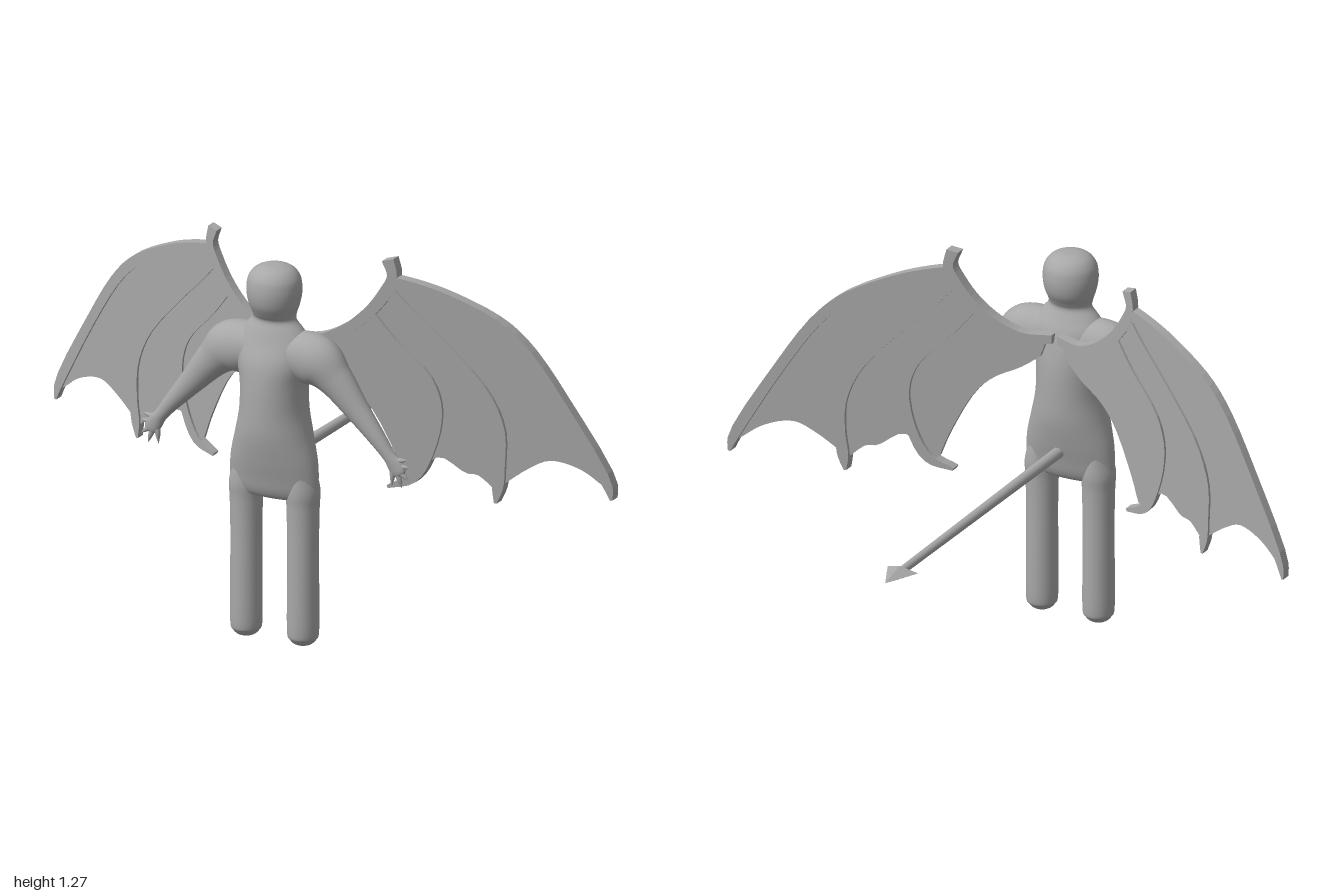
import * as THREE from 'three';

const BODY_Z = 0.545;
const V = (x, y, z = 0) => new THREE.Vector3(x, y, z);

// Smooth tube of elliptical rings; rows are [x, y, z, half width, half depth]
function loft(rows, steps = 48, sides = 32) {
  const path = new THREE.CatmullRomCurve3(rows.map(r => V(r[0], r[1], r[2])));
  const size = new THREE.CatmullRomCurve3(rows.map(r => V(r[3], r[4])));
  // uniform spline on both so that sizes stay with their centres
  path.curveType = size.curveType = 'catmullrom';
  const pos = [], index = [];
  for (let i = 0; i <= steps; i++) {
    const t = i / steps;
    const c = path.getPoint(t), s = size.getPoint(t), d = path.getTangent(t);
    const len = Math.hypot(d.x, d.y) || 1;
    const a = Math.max(s.x, 0), b = Math.max(s.y, 0);
    for (let j = 0; j < sides; j++) {
      const q = j / sides * Math.PI * 2;
      pos.push(c.x + d.y / len * a * Math.cos(q), c.y - d.x / len * a * Math.cos(q), c.z + b * Math.sin(q));
      if (i < steps) {
        const k = i * sides + j, n = i * sides + (j + 1) % sides;
        index.push(k, k + sides, n, n, k + sides, n + sides);
      }
    }
  }
  const g = new THREE.BufferGeometry();
  g.setAttribute('position', new THREE.Float32BufferAttribute(pos, 3));
  g.setIndex(index);
  g.computeVertexNormals();
  return g;
}

// Extruded plate laid in the swept-back plane of one wing
function wingPlate(points, side, depth) {
  const shape = new THREE.Shape(points.map(p => new THREE.Vector2(p.x * side, p.y)));
  const g = new THREE.ExtrudeGeometry(shape, { depth, bevelEnabled: false });
  g.translate(0, 0, -depth / 2);
  g.applyMatrix4(new THREE.Matrix4().set(1, 0, 0, 0, 0, 1, 0, 0, -0.32 * side, 0, 1, 0.46, 0, 0, 0, 1));
  g.computeVertexNormals();
  return g;
}

// Ribbon outline along a curve; rows are [x, y, width]
function ribbon(rows, steps = 24) {
  const curve = new THREE.CatmullRomCurve3(rows.map(r => V(r[0], r[1], r[2])));
  const left = [], right = [];
  for (let i = 0; i <= steps; i++) {
    const p = curve.getPoint(i / steps), d = curve.getTangent(i / steps);
    const k = p.z / 2 / Math.hypot(d.x, d.y);
    left.push(V(p.x - d.y * k, p.y + d.x * k));
    right.unshift(V(p.x + d.y * k, p.y - d.x * k));
  }
  return [...left, ...right];
}

// Wing outline as smooth runs between sharp corners
const MEMBRANE = [
  [[0.03, 0.98], [0.1, 0.99], [0.18, 1.03], [0.26, 1.09], [0.31, 1.18]],
  [[0.34, 1.205], [0.49, 1.15], [0.64, 1.075], [0.73, 0.995], [0.85, 0.82], [0.98, 0.56]],
  [[0.965, 0.55], [0.89, 0.604], [0.8, 0.626], [0.733, 0.594], [0.655, 0.535]],
  [[0.63, 0.52], [0.58, 0.563], [0.545, 0.567], [0.465, 0.615], [0.41, 0.575], [0.37, 0.54]],
  [[0.355, 0.55], [0.325, 0.63], [0.25, 0.775], [0.19, 0.835], [0.107, 0.878], [0.05, 0.92]],
];
const BONES = {
  armBone: [[0.01, 0.985, 0.03], [0.1, 0.985, 0.032], [0.18, 1.02, 0.034], [0.255, 1.085, 0.036],
    [0.305, 1.155, 0.038], [0.325, 1.21, 0.03], [0.312, 1.262, 0.036]],
  leadingBone: [[0.31, 1.19, 0.04], [0.4, 1.172, 0.036], [0.49, 1.142, 0.036], [0.64, 1.066, 0.036],
    [0.725, 0.985, 0.035], [0.84, 0.81, 0.033], [0.978, 0.56, 0.03], [0.99, 0.51, 0.008]],
  middleFinger: [[0.3, 1.17, 0.04], [0.37, 1.09, 0.038], [0.46, 1.0, 0.036], [0.6, 0.84, 0.034],
    [0.65, 0.72, 0.033], [0.652, 0.6, 0.03], [0.645, 0.53, 0.034], [0.638, 0.476, 0.008]],
  innerFinger: [[0.25, 1.08, 0.036], [0.32, 0.99, 0.034], [0.43, 0.87, 0.034], [0.46, 0.77, 0.033],
    [0.435, 0.63, 0.03], [0.385, 0.54, 0.03], [0.31, 0.509, 0.01]],
};

export function createModel() {
  const root = new THREE.Group();
  const grey = new THREE.MeshStandardMaterial({ color: 0xa8a8a8 });
  grey.name = 'grey';
  const add = (parent, name, geometry) => {
    const m = new THREE.Mesh(geometry, grey);
    m.name = name;
    parent.add(m);
    return m;
  };

  // Torso, neck and head: [y, half width, half depth, z offset]
  const rows = [
    [0.483, 0, 0, 0], [0.485, 0.125, 0.04, 0], [0.51, 0.15, 0.06, 0], [0.56, 0.153, 0.074, 0],
    [0.62, 0.146, 0.09, 0], [0.7, 0.126, 0.106, 0], [0.78, 0.11, 0.109, 0], [0.87, 0.11, 0.106, 0],
    [0.94, 0.125, 0.096, 0], [1.0, 0.125, 0.077, -0.005], [1.04, 0.1, 0.061, -0.003], [1.07, 0.075, 0.05, -0.002],
    [1.09, 0.073, 0.06, 0], [1.12, 0.081, 0.078, 0], [1.15, 0.087, 0.086, 0], [1.18, 0.088, 0.087, 0],
    [1.21, 0.082, 0.081, 0], [1.235, 0.063, 0.062, 0], [1.248, 0.032, 0.032, 0], [1.25, 0, 0, 0],
  ];
  add(root, 'torsoAndHead', loft(rows.map(([y, a, b, z]) => [0, y, BODY_Z + z, a, b]), 95, 40));

  for (const side of [1, -1]) {
    const label = side > 0 ? 'left' : 'right';

    // Leg with rounded foot
    const leg = [[0, 0, 0], [0.006, 0.027, 0.027], [0.022, 0.043, 0.044], [0.05, 0.05, 0.053], [0.2, 0.05, 0.053],
      [0.36, 0.05, 0.052], [0.46, 0.052, 0.054], [0.52, 0.053, 0.058], [0.6, 0.03, 0.05]];
    add(root, label + 'Leg', loft(leg.map(([y, a, b]) => [0.101 * side, y, BODY_Z - 0.002, a, b]), 48));

    // Arm from the shoulder to the flattened hand
    const arm = [[0.05, 0.965, 0.075, 0.07], [0.15, 0.95, 0.085, 0.07], [0.215, 0.9, 0.06, 0.052],
      [0.29, 0.815, 0.042, 0.036], [0.36, 0.735, 0.029, 0.026], [0.405, 0.68, 0.022, 0.019],
      [0.428, 0.65, 0.027, 0.015], [0.445, 0.625, 0.022, 0.011], [0.45, 0.617, 0, 0]];
    add(root, label + 'Arm', loft(arm.map(([x, y, a, b]) => [x * side, y, BODY_Z - 0.005, a, b]), 64));

    // Pointed fingers fanned out from the palm
    const hand = new THREE.Group();
    hand.name = label + 'Fingers';
    root.add(hand);
    for (const [x0, y0, x1, y1] of [[0.425, 0.665, 0.472, 0.675], [0.437, 0.65, 0.482, 0.65],
      [0.44, 0.635, 0.478, 0.605], [0.435, 0.63, 0.452, 0.578], [0.42, 0.64, 0.415, 0.578]]) {
      const z = BODY_Z - 0.005;
      add(hand, 'finger', loft([[x0 * side, y0, z, 0.011, 0.01],
        [(x0 + x1) / 2 * side, (y0 + y1) / 2, z, 0.008, 0.008], [x1 * side, y1, z, 0, 0]], 8, 10));
    }

    // Wing: thin membrane with raised bones
    const wing = new THREE.Group();
    wing.name = label + 'Wing';
    root.add(wing);
    const outline = MEMBRANE.flatMap(run =>
      new THREE.CatmullRomCurve3(run.map(p => V(p[0], p[1]))).getPoints(16));
    add(wing, 'membrane', wingPlate(outline, side, 0.012));
    Object.entries(BONES).forEach(([name, pts], i) =>
      add(wing, name, wingPlate(ribbon(pts), side, 0.035 - i * 0.001)));
  }

  // Straight tail tapering towards the back
  const tail = new THREE.CylinderGeometry(0.013, 0.019, 1.05, 20);
  tail.rotateX(-Math.PI / 2);
  add(root, 'tail', tail).position.set(0, 0.589, -0.04);

  // Barbed, flat-faced tail point: tip, two barbs, upper and lower ridge
  const p = [[0, 0, -0.65], [0.055, 0, -0.535], [-0.055, 0, -0.535], [0, 0.023, -0.558], [0, -0.023, -0.558]];
  const faces = [[0, 3, 1], [0, 2, 3], [0, 1, 4], [0, 4, 2], [1, 3, 4], [2, 4, 3]];
  const point = new THREE.BufferGeometry();
  point.setAttribute('position', new THREE.Float32BufferAttribute(faces.flat().flatMap(i => p[i]), 3));
  point.computeVertexNormals();
  add(root, 'tailPoint', point).position.y = 0.589;

  return root;
}
